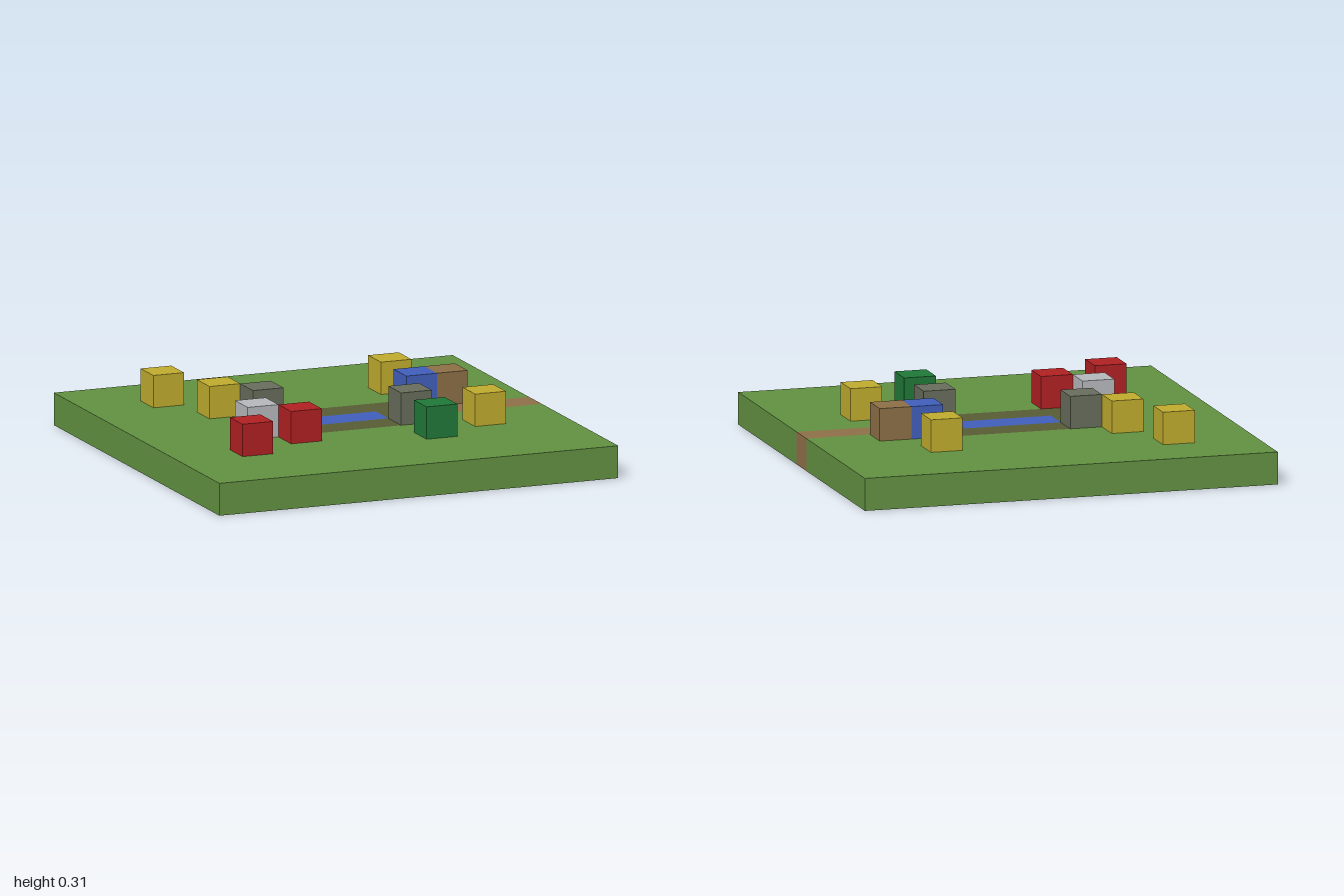
import * as THREE from 'three';

const CELL = 2 / 13; // the model is a 13 x 13 grid of cubes

const material = (name, color) => {
  const m = new THREE.MeshStandardMaterial({ color });
  m.name = name;
  return m;
};

export function createModel() {
  const grass = material('grass green', 0x629142);
  const soil = material('dark soil', 0x585c34);
  const path = material('path brown', 0x8e7048);
  const blue = material('blue', 0x405fba);
  const yellow = material('yellow', 0xbfab2e);
  const red = material('red', 0xb02022);
  const silver = material('light grey', 0xb5b8bb);
  const stone = material('stone grey', 0x676c5b);
  const green = material('deep green', 0x207838);
  const wood = material('wood brown', 0x8b6f45);

  const model = new THREE.Group();
  model.name = 'gardenPlot';

  // Box covering cells x0..x1 by z0..z1 (inclusive, centre cell is 0) on one layer
  const block = (name, mat, x0, x1, z0, z1, layer = 0) => {
    const geometry = new THREE.BoxGeometry((x1 - x0 + 1) * CELL, CELL, (z1 - z0 + 1) * CELL);
    const mesh = new THREE.Mesh(geometry, mat);
    mesh.position.set((x0 + x1) / 2 * CELL, (layer + 0.5) * CELL, (z0 + z1) / 2 * CELL);
    mesh.name = name;
    model.add(mesh);
  };

  // Lawn around the pond bed and path
  block('lawnBack', grass, -6, 6, -6, -2);
  block('lawnFront', grass, -6, 6, 2, 6);
  block('lawnRight', grass, -6, -3, -1, 1);
  for (const z of [-1, 1]) block('lawnBesidePath', grass, 3, 6, z, z);

  // Soil ring, pond and path, full depth of the slab
  for (const z of [-1, 1]) block('soilLong', soil, -2, 2, z, z);
  for (const x of [-2, 2]) block('soilEnd', soil, x, x, 0, 0);
  block('pond', blue, -1, 1, 0, 0);
  block('path', path, 3, 6, 0, 0);

  // Single cubes standing on the slab
  const cubes = [
    ['yellowCube', yellow, [[-4, -4], [-3, -2], [3, -3], [4, 2]]],
    ['redCube', red, [[-2, 2], [-4, 3]]],
    ['stoneCube', stone, [[-2, -1], [2, 1]]],
    ['silverCube', silver, [[-3, 1]]],
    ['greenCube', green, [[2, 3]]],
    ['blueCube', blue, [[3, -1]]],
    ['woodCube', wood, [[4, -1]]],
  ];
  for (const [name, mat, cells] of cubes)
    for (const [x, z] of cells) block(name, mat, x, x, z, z, 1);

  return model;
}
